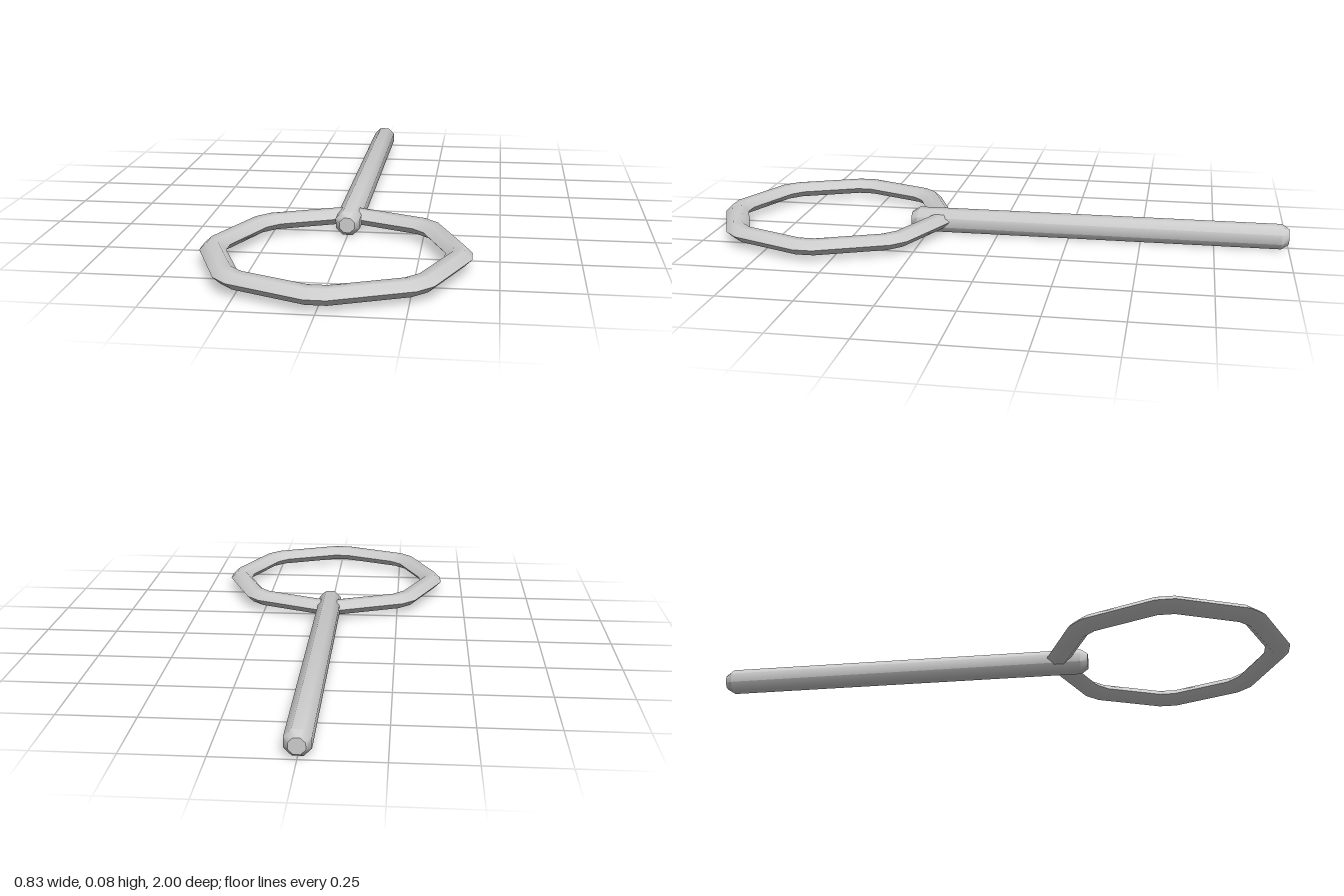
import * as THREE from 'three';
import { toCreasedNormals } from 'three/addons/utils/BufferGeometryUtils.js';

const material = new THREE.MeshStandardMaterial({ color: 0xcccccc });
const CREASE = 0.9; // radians
const MID_Y = 0.04;

const profile = (pairs) => pairs.map(([r, y]) => new THREE.Vector2(r, y));

function addPart(group, name, geometry) {
  const mesh = new THREE.Mesh(toCreasedNormals(geometry, CREASE), material);
  mesh.name = name;
  group.add(mesh);
  return mesh;
}

// Flattened hexagonal section swept round an octagon with clipped corners
function ringGeometry() {
  const R = 0.376, w = 0.042, f = 0.017, h = 0.024;
  const section = profile([
    [R + w, 0], [R + f, h], [R - f, h], [R - w, 0], [R - f, -h], [R + f, -h], [R + w, 0],
  ]);
  const geo = new THREE.LatheGeometry(section, 16);
  const pos = geo.attributes.position;
  const clip = THREE.MathUtils.degToRad(4.5);
  for (let i = 0; i < pos.count; i++) {
    const k = Math.floor(i / section.length) % 16;
    const angle = Math.floor(k / 2) * Math.PI / 4 + (k % 2 ? clip : -clip);
    const r = Math.hypot(pos.getX(i), pos.getZ(i));
    pos.setX(i, r * Math.sin(angle));
    pos.setZ(i, r * Math.cos(angle));
  }
  return geo;
}

// Eight-sided bar with bevelled ends, lying along z
function rodGeometry() {
  const r = 0.0433, tip = 0.027;
  const section = profile([
    [0, -1], [tip, -1], [r, -0.975], [r, 0.285], [tip, 0.31], [0, 0.31],
  ]);
  return new THREE.LatheGeometry(section, 8).rotateY(Math.PI / 8).rotateX(Math.PI / 2);
}

export function createModel() {
  const group = new THREE.Group();
  group.name = 'ringAndRod';

  const ring = addPart(group, 'ring', ringGeometry());
  ring.position.set(0, MID_Y + 0.003, 0.583);

  const rod = addPart(group, 'rod', rodGeometry());
  rod.position.y = MID_Y;

  return group;
}
